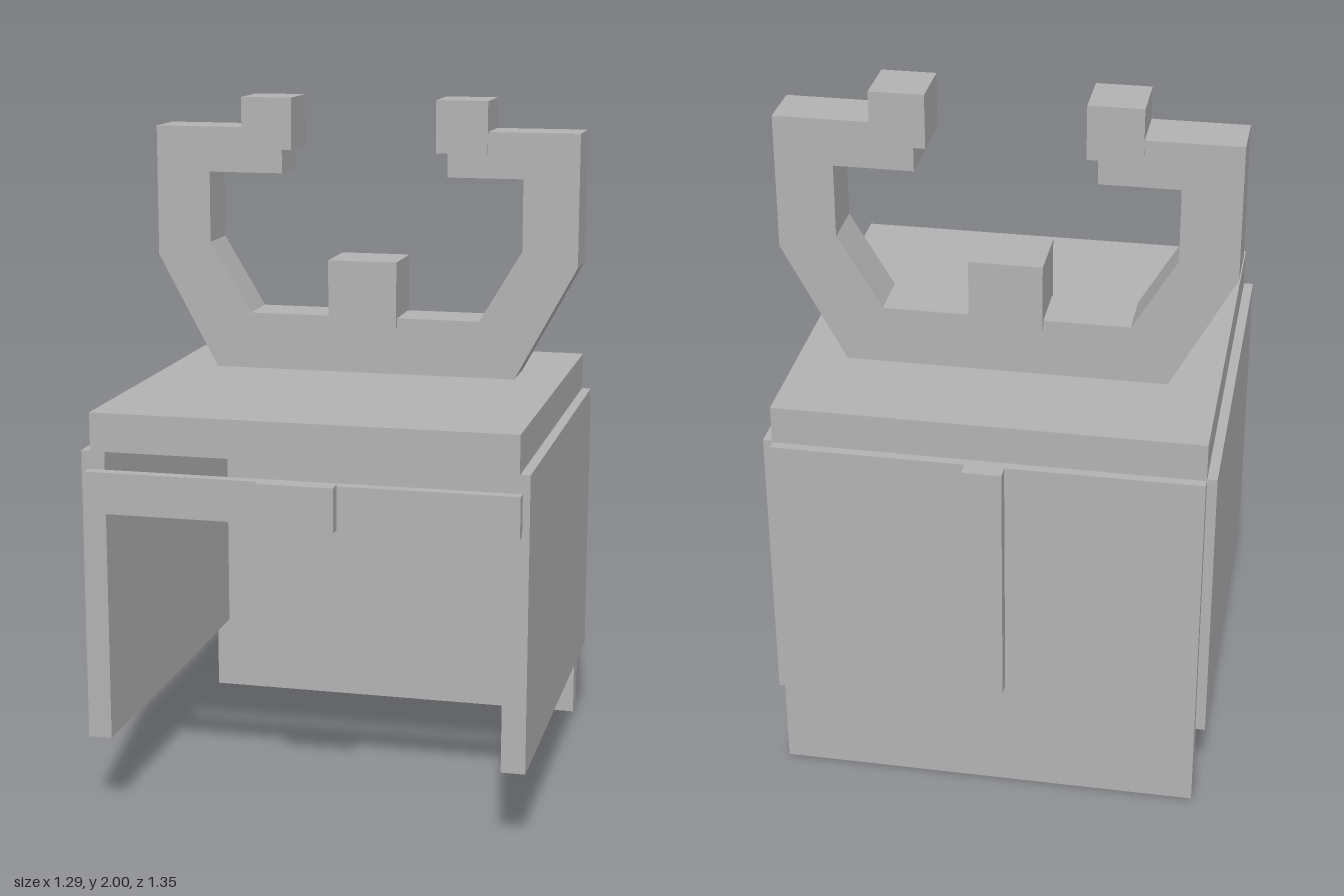
import * as THREE from 'three';

export function createModel() {
  const model = new THREE.Group();
  const grey = new THREE.MeshStandardMaterial({ color: 0xb2b2b2 });
  grey.name = 'plain grey';

  // Box given by its lower and upper corners
  function box(name, [x0, y0, z0], [x1, y1, z1]) {
    const mesh = new THREE.Mesh(new THREE.BoxGeometry(x1 - x0, y1 - y0, z1 - z0), grey);
    mesh.position.set((x0 + x1) / 2, (y0 + y1) / 2, (z0 + z1) / 2);
    mesh.name = name;
    model.add(mesh);
  }

  // Cabinet: lid, back panel and two side panels
  box('lid', [-0.605, 1.07, -0.605], [0.602, 1.18, 0.605]);
  box('backPanel', [-0.605, 0, -0.633], [0.602, 1.07, -0.563]);
  box('rightPanel', [-0.633, 0.228, -0.598], [-0.565, 1.07, 0.6]);
  box('leftPanel', [0.562, 0.228, -0.598], [0.63, 1.07, 0.6]);

  // Front strap with its buckle, and the strip down the back
  box('frontStrap', [-0.613, 0.9, 0.6], [0.61, 1.018, 0.635]);
  box('buckle', [-0.11, 0.896, 0.635], [0.108, 1.022, 0.675]);
  box('backStrip', [-0.056, 0.34, -0.675], [0.054, 1.07, -0.633]);

  // Open cradle on the lid, mirrored from its left half
  const half = [
    [0.46, 1.18], [0.643, 1.52], [0.643, 1.91], [0.252, 1.91],
    [0.252, 1.775], [0.478, 1.775], [0.478, 1.562], [0.352, 1.35],
  ];
  const outline = [...half, ...half.map(([x, y]) => [-x, y]).reverse()];
  const shape = new THREE.Shape(outline.map(([x, y]) => new THREE.Vector2(x, y)));
  const cradle = new THREE.Mesh(
    new THREE.ExtrudeGeometry(shape, { depth: 0.154, bevelEnabled: false }), grey);
  cradle.position.z = -0.289;
  cradle.name = 'cradle';
  model.add(cradle);

  // Blocks on the arm tips and in the middle
  box('rightTip', [-0.375, 1.845, -0.293], [-0.221, 2, -0.129]);
  box('leftTip', [0.218, 1.845, -0.293], [0.372, 2, -0.129]);
  box('centreBlock', [-0.106, 1.323, -0.302], [0.103, 1.52, -0.12]);

  return model;
}
